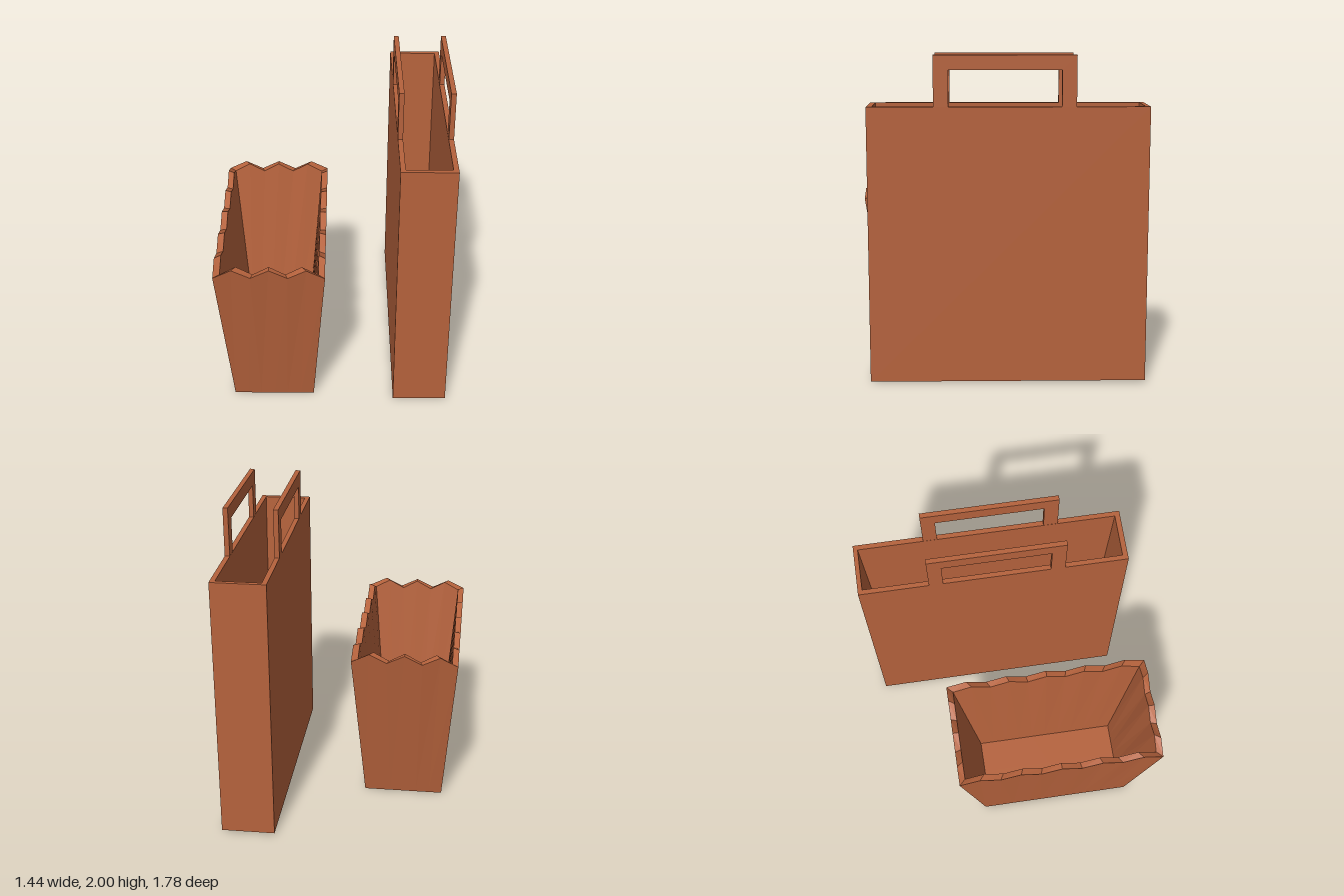
import * as THREE from 'three';

const material = new THREE.MeshStandardMaterial({ color: 0xb5623c, flatShading: true });

// Rectangular ring of points, counterclockwise from above, with nx / nz segments per side.
// Every odd point is raised by `tooth`.
function ring([x0, x1, z0, z1], y, nx, nz, tooth = 0) {
  const corners = [[x0, z1], [x1, z1], [x1, z0], [x0, z0]];
  const points = [];
  corners.forEach(([ax, az], side) => {
    const [bx, bz] = corners[(side + 1) % 4];
    const n = side % 2 ? nz : nx;
    for (let i = 0; i < n; i++) {
      const t = i / n;
      points.push([ax + (bx - ax) * t, y + (i % 2) * tooth, az + (bz - az) * t]);
    }
  });
  return points;
}

// Skin consecutive rings with quads, and close both ends with fans.
function loft(rings) {
  const pos = [];
  const tri = (a, b, c) => pos.push(...a, ...b, ...c);
  const n = rings[0].length;
  const centre = (r) => [0, 1, 2].map((k) => r.reduce((s, p) => s + p[k], 0) / n);
  const first = rings[0], last = rings[rings.length - 1];
  const c0 = centre(first), c1 = centre(last);
  for (let i = 0; i < n; i++) {
    const j = (i + 1) % n;
    tri(c0, first[j], first[i]);
    for (let r = 0; r + 1 < rings.length; r++) {
      const lo = rings[r], hi = rings[r + 1];
      tri(lo[i], lo[j], hi[j]);
      tri(lo[i], hi[j], hi[i]);
    }
    tri(c1, last[i], last[j]);
  }
  const geometry = new THREE.BufferGeometry();
  geometry.setAttribute('position', new THREE.Float32BufferAttribute(pos, 3));
  geometry.computeVertexNormals();
  return geometry;
}

function addMesh(parent, name, geometry) {
  const mesh = new THREE.Mesh(geometry, material);
  mesh.name = name;
  parent.add(mesh);
  return mesh;
}

export function createModel() {
  const model = new THREE.Group();
  model.name = 'paperBags';

  // Small flared bag with a zigzag rim: three teeth on the ends, five on the sides
  addMesh(model, 'zigzagBag', loft([
    ring([-0.64, -0.13, -0.275, 0.737], 0, 6, 10),
    ring([-0.722, -0.05, -0.434, 0.888], 1.017, 6, 10, 0.055),
    ring([-0.683, -0.09, -0.395, 0.848], 1.017, 6, 10, 0.055),
    ring([-0.598, -0.175, -0.245, 0.7], 0.04, 6, 10),
  ]));

  // Tall carrier bag, hollow, with end walls thickening towards the floor
  const carrier = new THREE.Group();
  carrier.name = 'carrierBag';
  model.add(carrier);
  const outer = [0.383, 0.72, -0.888, 0.797];
  const rimY = 1.695;
  addMesh(carrier, 'carrierBody', loft([
    ring(outer, 0.01, 1, 1),
    ring(outer, rimY, 1, 1),
    ring([0.414, 0.688, -0.86, 0.764], rimY, 1, 1),
    ring([0.414, 0.688, -0.805, 0.705], 0.04, 1, 1),
  ]));

  // Flat U-shaped handles, drawn in (-z, y) and extruded along x
  const outline = [[-0.4, rimY], [-0.31, rimY], [-0.31, 1.912], [0.362, 1.912],
    [0.362, rimY], [0.45, rimY], [0.45, 2], [-0.4, 2]];
  const shape = new THREE.Shape(outline.map(([u, v]) => new THREE.Vector2(u, v)));
  const handle = new THREE.ExtrudeGeometry(shape, { depth: 0.031, bevelEnabled: false });
  handle.rotateY(Math.PI / 2);
  addMesh(carrier, 'rightHandle', handle).position.x = 0.383;
  addMesh(carrier, 'leftHandle', handle).position.x = 0.689;

  return model;
}
